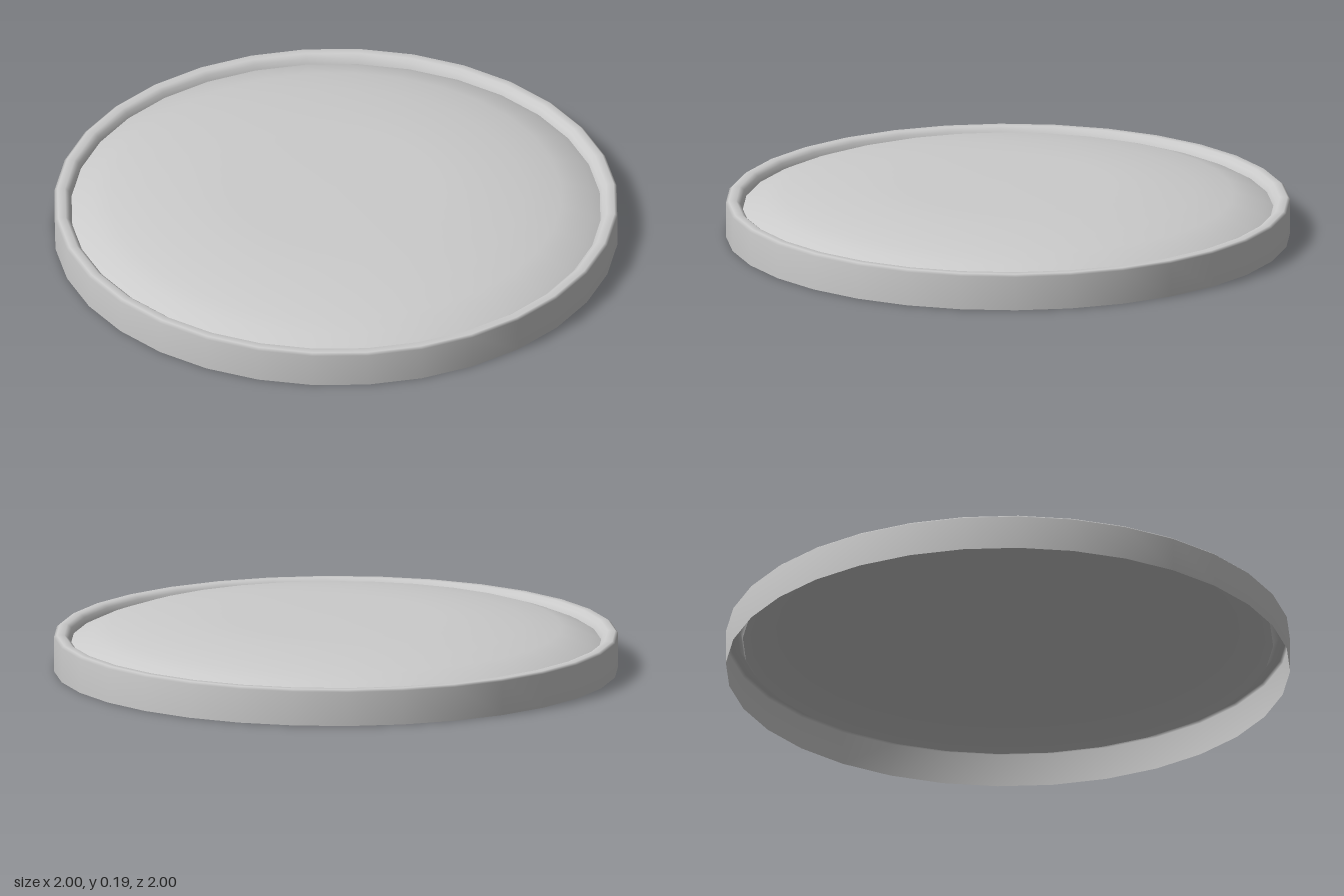
import * as THREE from 'three';

const SEGMENTS = 32;

// Revolves a profile of [radius, height] pairs around the y axis
function revolve(name, profile, material) {
  const points = profile.map(([r, y]) => new THREE.Vector2(r, y));
  const mesh = new THREE.Mesh(new THREE.LatheGeometry(points, SEGMENTS), material);
  mesh.name = name;
  return mesh;
}

export function createModel() {
  const group = new THREE.Group();
  group.name = 'roundLid';
  const material = new THREE.MeshStandardMaterial({ color: 0xcccccc, side: THREE.DoubleSide });

  // Upright skirt, open underneath, with a rim that rolls inward to a groove
  group.add(revolve('skirtAndRim', [
    [1, 0], [1, 0.122], [0.99, 0.13], [0.963, 0.13], [0.948, 0.118], [0.94, 0.098],
  ], material));

  // Shallow domed panel rising from the groove to a flat middle
  group.add(revolve('domedPanel', [
    [0.94, 0.098], [0.91, 0.113], [0.865, 0.13], [0.8, 0.151],
    [0.67, 0.168], [0.52, 0.184], [0.36, 0.189], [0, 0.19],
  ], material));

  return group;
}
